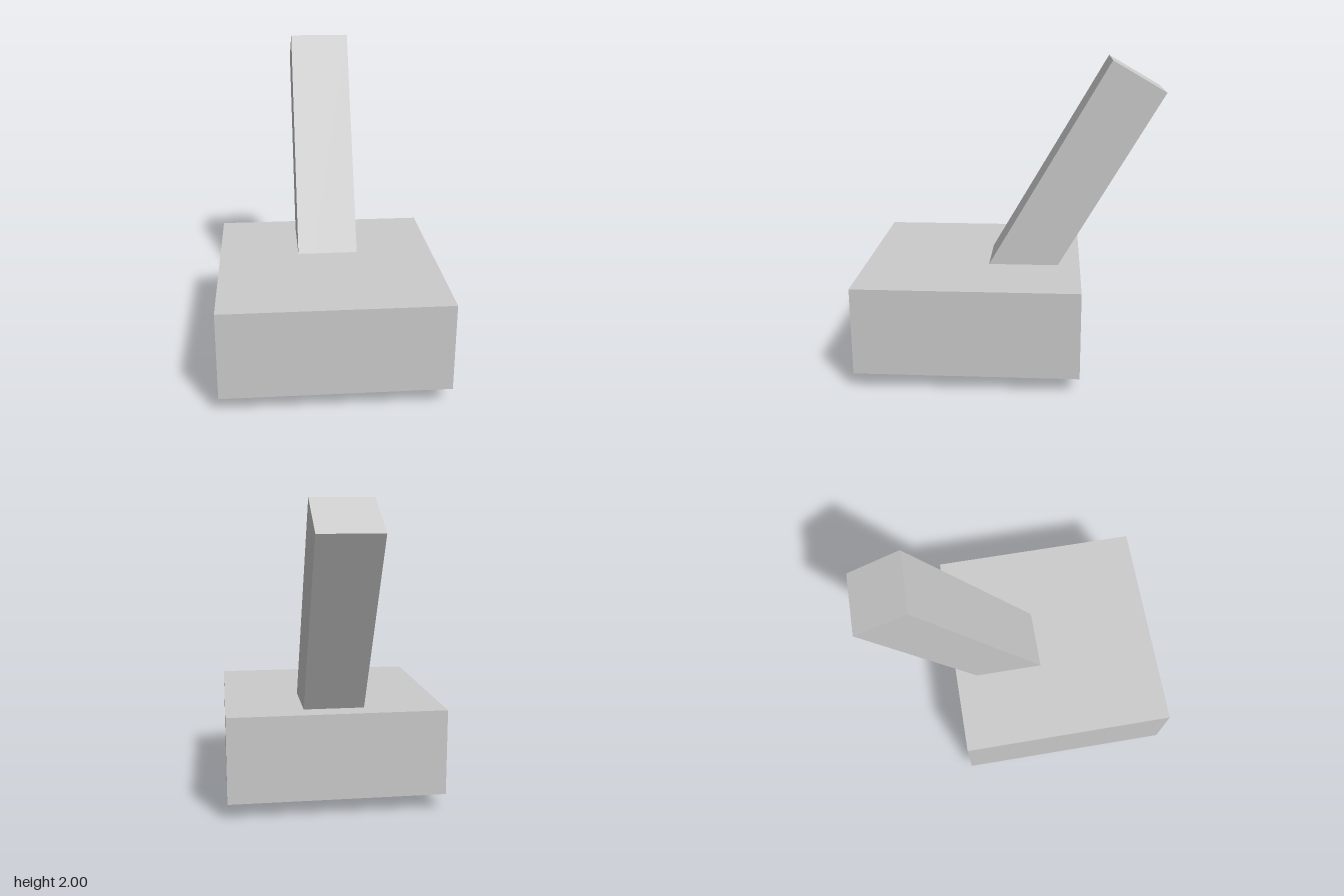
import * as THREE from 'three';

const material = new THREE.MeshStandardMaterial({
  color: 0xcccccc,
  flatShading: true,
  side: THREE.DoubleSide,
});

// Box shell with its bottom face left out
function openBox(name, width, height, depth) {
  const geometry = new THREE.BoxGeometry(width, height, depth);
  const index = Array.from(geometry.index.array);
  index.splice(18, 6); // the -y face
  geometry.setIndex(index);
  geometry.clearGroups();
  const mesh = new THREE.Mesh(geometry, material);
  mesh.name = name;
  return mesh;
}

export function createModel() {
  const model = new THREE.Group();
  model.name = 'leverOnBase';

  // Wide base, hollow and open underneath
  const base = openBox('base', 1.41, 0.562, 1.41);
  base.position.set(0, 0.385, 0.257);

  // Square lever leaning back through the base, open at its lower end
  const lever = openBox('lever', 0.392, 2.083, 0.392);
  lever.position.set(0.01, 1, -0.271);
  lever.rotation.x = -Math.PI / 6;

  model.add(base, lever);
  return model;
}
